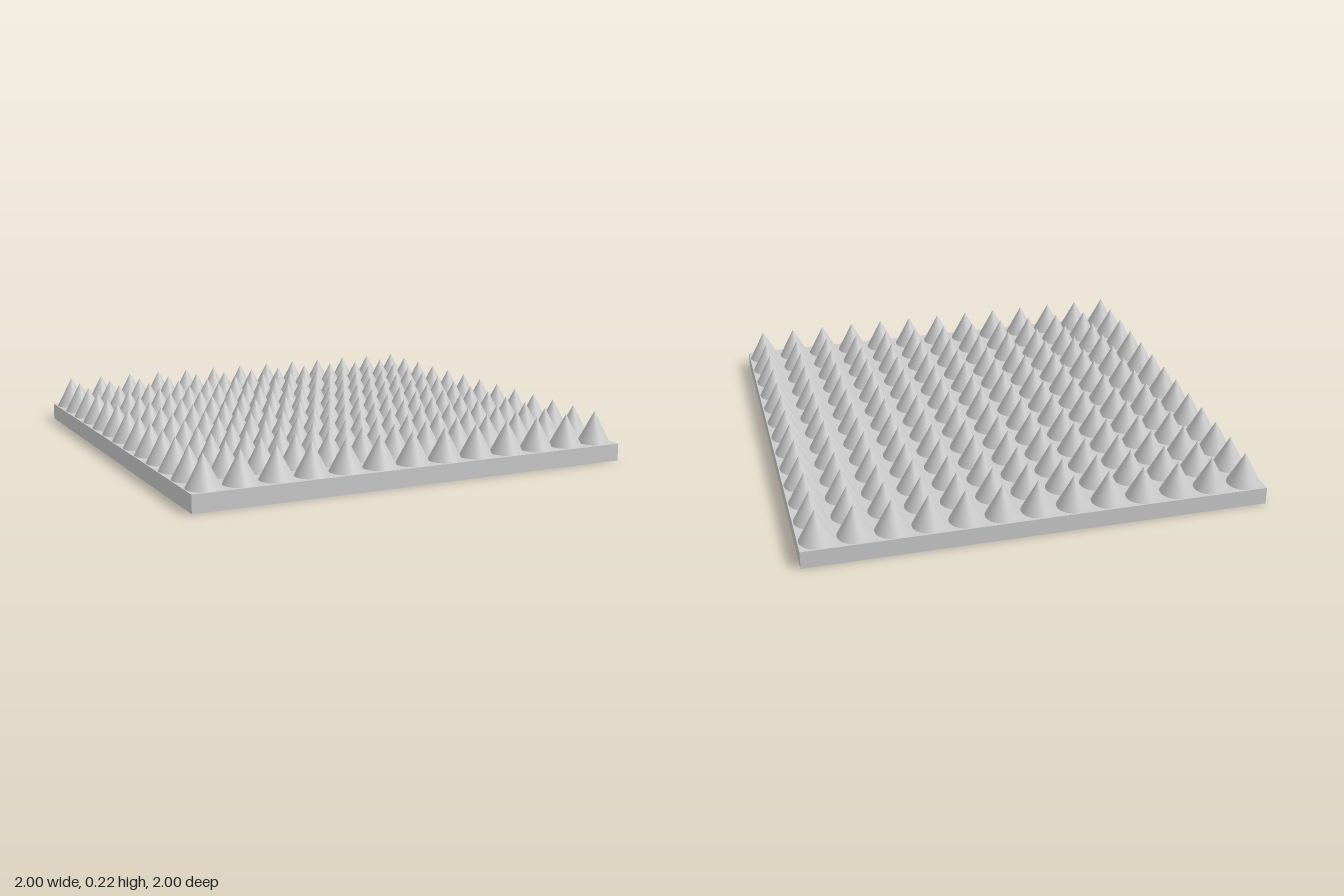
import * as THREE from 'three';

const COUNT = 13;            // spikes per side
const PITCH = 2 / COUNT;     // spacing between spikes
const BASE_HEIGHT = 0.076;
const SPIKE_HEIGHT = 0.14;
const SPIKE_RADIUS = 0.0725;

export function createModel() {
  const model = new THREE.Group();
  model.name = 'spikedPlate';
  const material = new THREE.MeshStandardMaterial({ color: 0xcccccc });

  // Flat square plate
  const plate = new THREE.Mesh(new THREE.BoxGeometry(2, BASE_HEIGHT, 2), material);
  plate.name = 'basePlate';
  plate.position.y = BASE_HEIGHT / 2;
  model.add(plate);

  // Square grid of round cones standing on the plate
  const spikes = new THREE.Group();
  spikes.name = 'spikes';
  const cone = new THREE.ConeGeometry(SPIKE_RADIUS, SPIKE_HEIGHT, 32, 1, true);
  const middle = (COUNT - 1) / 2;
  for (let row = 0; row < COUNT; row++) {
    for (let col = 0; col < COUNT; col++) {
      const spike = new THREE.Mesh(cone, material);
      spike.name = 'spike';
      spike.position.set((col - middle) * PITCH, BASE_HEIGHT + SPIKE_HEIGHT / 2, (row - middle) * PITCH);
      spikes.add(spike);
    }
  }
  model.add(spikes);

  return model;
}
